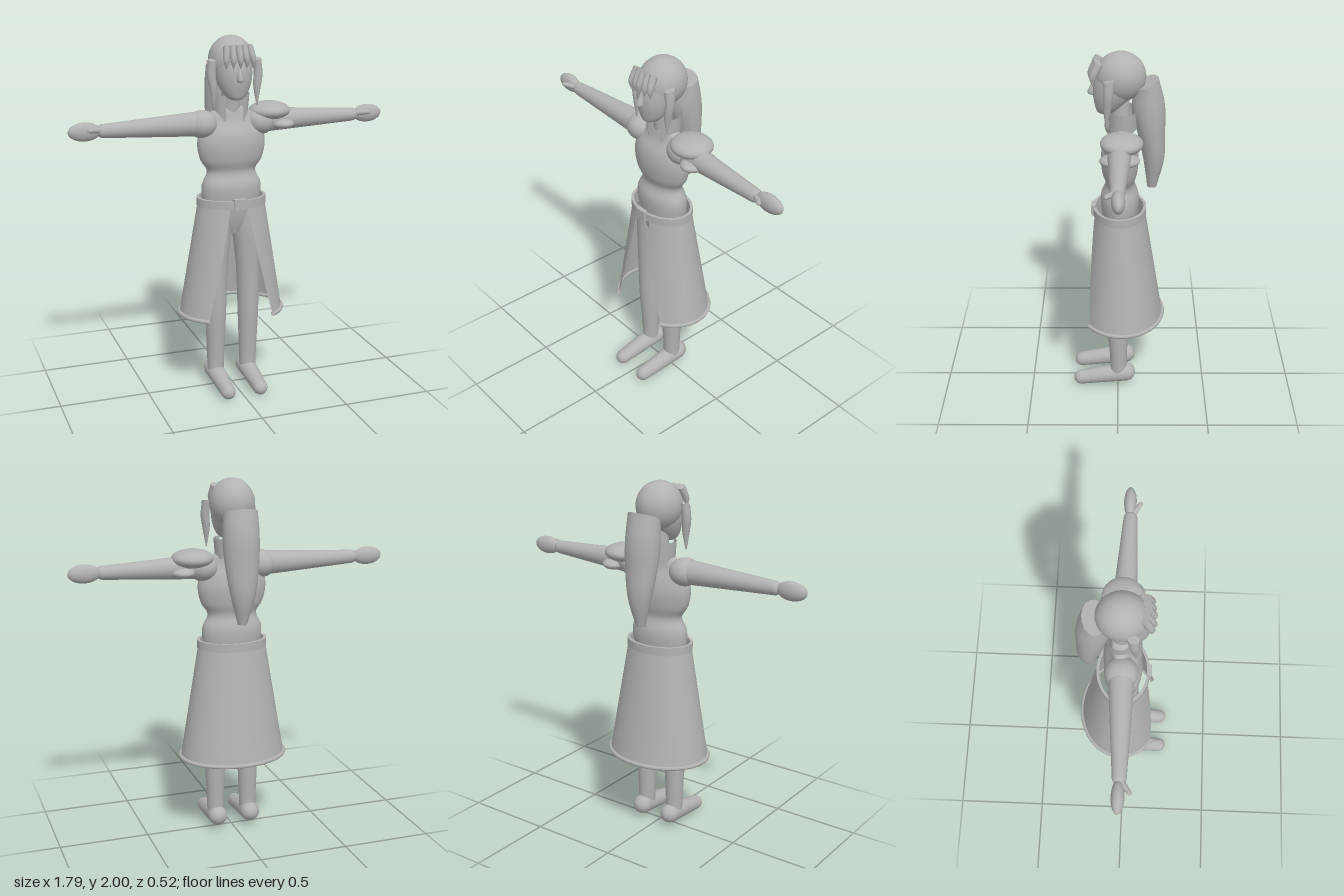
import * as THREE from 'three';

const grey = new THREE.MeshStandardMaterial({ color: 0xb2b2b2 });
grey.name = 'grey clay';
const greyOpen = grey.clone();
greyOpen.name = 'grey clay sheet';
greyOpen.side = THREE.DoubleSide;

function add(group, name, geometry, material = grey) {
  const mesh = new THREE.Mesh(geometry, material);
  mesh.name = name;
  group.add(mesh);
  return mesh;
}

// Grid surface from a function of (u, v); u runs to the right and v runs up
function surface(fn, nu, nv, closed = false) {
  const pos = [], idx = [], cols = closed ? nu : nu + 1;
  for (let i = 0; i <= nv; i++)
    for (let j = 0; j < cols; j++) pos.push(...fn(j / nu, i / nv));
  for (let i = 0; i < nv; i++)
    for (let j = 0; j < nu; j++) {
      const k = (j + 1) % cols;
      const a = i * cols + j, b = i * cols + k, c = b + cols, d = a + cols;
      idx.push(a, b, c, a, c, d);
    }
  // flat end caps with their own vertices
  if (closed)
    for (const v of [0, 1]) {
      const base = pos.length / 3, mid = [0, 0, 0];
      for (let j = 0; j < nu; j++) {
        const p = fn(j / nu, v);
        pos.push(...p);
        p.forEach((q, n) => { mid[n] += q / nu; });
      }
      pos.push(...mid);
      for (let j = 0; j < nu; j++) {
        const a = base + j, b = base + (j + 1) % nu;
        idx.push(base + nu, v ? a : b, v ? b : a);
      }
    }
  const g = new THREE.BufferGeometry();
  g.setAttribute('position', new THREE.Float32BufferAttribute(pos, 3));
  g.setIndex(idx);
  g.computeVertexNormals();
  return g;
}

// Smooth body through oval sections [x, y, z, rx, rz, tilt], listed from the bottom up
function loft(sections, sides = 28, steps = 5) {
  const curve = (f) => new THREE.CatmullRomCurve3(sections.map(f), false, 'catmullrom', 0.5);
  const mid = curve((s) => new THREE.Vector3(s[0], s[1], s[2]));
  const rad = curve((s) => new THREE.Vector3(s[3], s[4], s[5] || 0));
  return surface((u, v) => {
    const c = mid.getPoint(v), r = rad.getPoint(v), t = u * Math.PI * 2;
    const dz = r.y * Math.cos(t);
    return [c.x + r.x * Math.sin(t), c.y + r.z * dz, c.z + dz];
  }, sides, (sections.length - 1) * steps, true);
}

// Tapered limb with round ends between two points
function limb(a, b, ra, rb) {
  const from = new THREE.Vector3(...a), dir = new THREE.Vector3(...b).sub(from);
  const len = dir.length(), pts = [];
  for (let i = 0; i <= 8; i++) {
    const t = (i / 8 - 1) * Math.PI / 2;
    pts.push(new THREE.Vector2(Math.max(0, ra * Math.cos(t)), ra * Math.sin(t)));
  }
  for (let i = 0; i <= 8; i++) {
    const t = i / 8 * Math.PI / 2;
    pts.push(new THREE.Vector2(Math.max(0, rb * Math.cos(t)), len + rb * Math.sin(t)));
  }
  const g = new THREE.LatheGeometry(pts, 24);
  g.applyQuaternion(new THREE.Quaternion().setFromUnitVectors(new THREE.Vector3(0, 1, 0), dir.normalize()));
  return g.translate(...a);
}

const ball = (x, y, z, rx, ry, rz) =>
  new THREE.SphereGeometry(1, 32, 20).scale(rx, ry, rz).translate(x, y, z);

// Skirt: flaring oval cone, open at the front in a widening slit
function skirtPoint(u, v, grow = 0) {
  const gap = THREE.MathUtils.lerp(0.68, 0.25, v);
  const t = gap + u * (Math.PI * 2 - gap * 2);
  const rx = THREE.MathUtils.lerp(0.295, 0.187, v) + grow;
  const rz = THREE.MathUtils.lerp(0.232, 0.137, v) + grow;
  return [rx * Math.sin(t), 0.455 + v * 0.655, THREE.MathUtils.lerp(-0.02, -0.01, v) + rz * Math.cos(t)];
}

export function createModel() {
  const model = new THREE.Group();
  model.name = 'figure';

  // Torso and neck
  add(model, 'torso', loft([
    [0, 0.92, 0, 0.05, 0.05], [0, 1.0, -0.005, 0.13, 0.08], [0, 1.1, -0.01, 0.163, 0.1],
    [0, 1.19, -0.01, 0.167, 0.103], [0, 1.265, -0.012, 0.138, 0.079], [0, 1.33, -0.01, 0.175, 0.095],
    [0, 1.41, -0.01, 0.192, 0.102], [0, 1.48, -0.01, 0.182, 0.09], [0, 1.54, -0.015, 0.155, 0.062],
    [0, 1.59, -0.02, 0.115, 0.052], [0, 1.62, -0.02, 0.05, 0.045],
  ], 36));
  add(model, 'neck', loft([[0, 1.56, -0.02, 0.052, 0.05], [0, 1.75, -0.01, 0.05, 0.05]]));

  // Head
  const head = new THREE.Group();
  head.name = 'head';
  model.add(head);
  add(head, 'skull', ball(0, 1.868, -0.015, 0.122, 0.132, 0.133));
  add(head, 'face', loft([
    [0, 1.664, 0.07, 0.012, 0.012], [0, 1.674, 0.066, 0.04, 0.042], [0, 1.705, 0.05, 0.07, 0.07],
    [0, 1.76, 0.03, 0.094, 0.1], [0, 1.82, 0.015, 0.105, 0.115], [0, 1.88, 0, 0.11, 0.115],
  ]));
  add(head, 'nose', loft([
    [0, 1.765, 0.125, 0.008, 0.01], [0, 1.782, 0.132, 0.018, 0.028], [0, 1.85, 0.115, 0.008, 0.012],
  ], 12));

  // Hair
  const hair = new THREE.Group();
  hair.name = 'hair';
  model.add(hair);
  for (let i = -2; i <= 2; i++) {
    const x = i * 0.035, z = -Math.abs(i) * 0.005;
    add(hair, 'fringeSpike', loft([
      [x * 1.08, 1.84, 0.14 + z, 0.002, 0.002], [x * 1.05, 1.89, 0.137 + z, 0.016, 0.02],
      [x * 0.9, 1.955, 0.108 + z, 0.018, 0.021, 0.5],
    ], 10));
  }
  add(hair, 'ponytail', loft([
    [0, 1.24, -0.185, 0.025, 0.025], [0, 1.4, -0.193, 0.068, 0.056], [0, 1.55, -0.178, 0.092, 0.073],
    [0, 1.7, -0.16, 0.1, 0.088, -0.1], [0, 1.835, -0.15, 0.095, 0.062, -0.42],
  ], 16));

  // Collar, open at the front, with longer front ends
  add(model, 'collar', surface((u, v) => {
    const t = 0.5 + u * (Math.PI * 2 - 1);
    const low = 1.54 + 0.05 * (1 - Math.cos(t)) * 0.5;
    return [(0.095 + 0.011 * v) * Math.sin(t), low + (1.685 - low) * v,
      -0.025 + (0.08 + 0.003 * v) * Math.cos(t)];
  }, 40, 4), greyOpen);

  for (const s of [-1, 1]) {
    const side = s > 0 ? 'left' : 'right';
    add(hair, side + 'SideLock', loft([
      [s * 0.122, 1.63, 0.06, 0.003, 0.003], [s * 0.124, 1.73, 0.055, 0.02, 0.021],
      [s * 0.131, 1.8, 0.05, 0.024, 0.026], [s * 0.126, 1.88, 0.045, 0.022, 0.03, -0.15],
    ], 12));

    // Arm, hand and thumb
    add(model, side + 'Shoulder', ball(s * 0.165, 1.53, -0.012, 0.085, 0.076, 0.086));
    add(model, side + 'Arm', limb([s * 0.17, 1.533, -0.012], [s * 0.71, 1.532, 0], 0.068, 0.037));
    add(model, side + 'Hand', ball(s * 0.808, 1.533, -0.004, 0.087, 0.05, 0.034));
    add(model, side + 'Thumb', limb([s * 0.735, 1.54, 0.015], [s * 0.79, 1.548, 0.052], 0.016, 0.012));

    // Leg and foot
    add(model, side + 'Leg', loft([
      [s * 0.097, 0.08, -0.003, 0.046, 0.047], [s * 0.097, 0.2, -0.003, 0.05, 0.049],
      [s * 0.097, 0.42, 0.001, 0.058, 0.062], [s * 0.095, 0.7, 0, 0.066, 0.07],
      [s * 0.085, 0.95, -0.005, 0.08, 0.085], [s * 0.08, 1.1, -0.01, 0.078, 0.085],
    ]));
    add(model, side + 'Foot', limb([s * 0.097, 0.085, -0.046], [s * 0.095, 0.045, 0.215], 0.054, 0.041));
  }

  // Layered shoulder guard on the left side only
  add(model, 'upperShoulderGuard', ball(0.225, 1.582, -0.02, 0.115, 0.051, 0.112));
  add(model, 'lowerShoulderGuard', ball(0.285, 1.512, -0.01, 0.073, 0.034, 0.105));

  // Skirt and hem
  add(model, 'skirt', surface((u, v) => skirtPoint(u, v), 64, 8), greyOpen);
  const hemPoints = [];
  for (let i = 0; i <= 40; i++) hemPoints.push(new THREE.Vector3(...skirtPoint(i / 40, 0, 0.002)));
  add(model, 'skirtHem', new THREE.TubeGeometry(new THREE.CatmullRomCurve3(hemPoints), 80, 0.012, 8), greyOpen);

  // Belt and buckle
  const oval = (rx, rz, Kind) => new Kind().absellipse(0, 0, rx, rz, 0, Math.PI * 2);
  const band = oval(0.196, 0.146, THREE.Shape);
  band.holes.push(oval(0.18, 0.13, THREE.Path));
  const belt = new THREE.ExtrudeGeometry(band, { depth: 0.046, bevelEnabled: false, curveSegments: 32 });
  add(model, 'belt', belt.rotateX(-Math.PI / 2).translate(0, 1.077, -0.01));
  add(model, 'buckle', new THREE.BoxGeometry(0.07, 0.058, 0.025).translate(0, 1.105, 0.134));

  return model;
}
